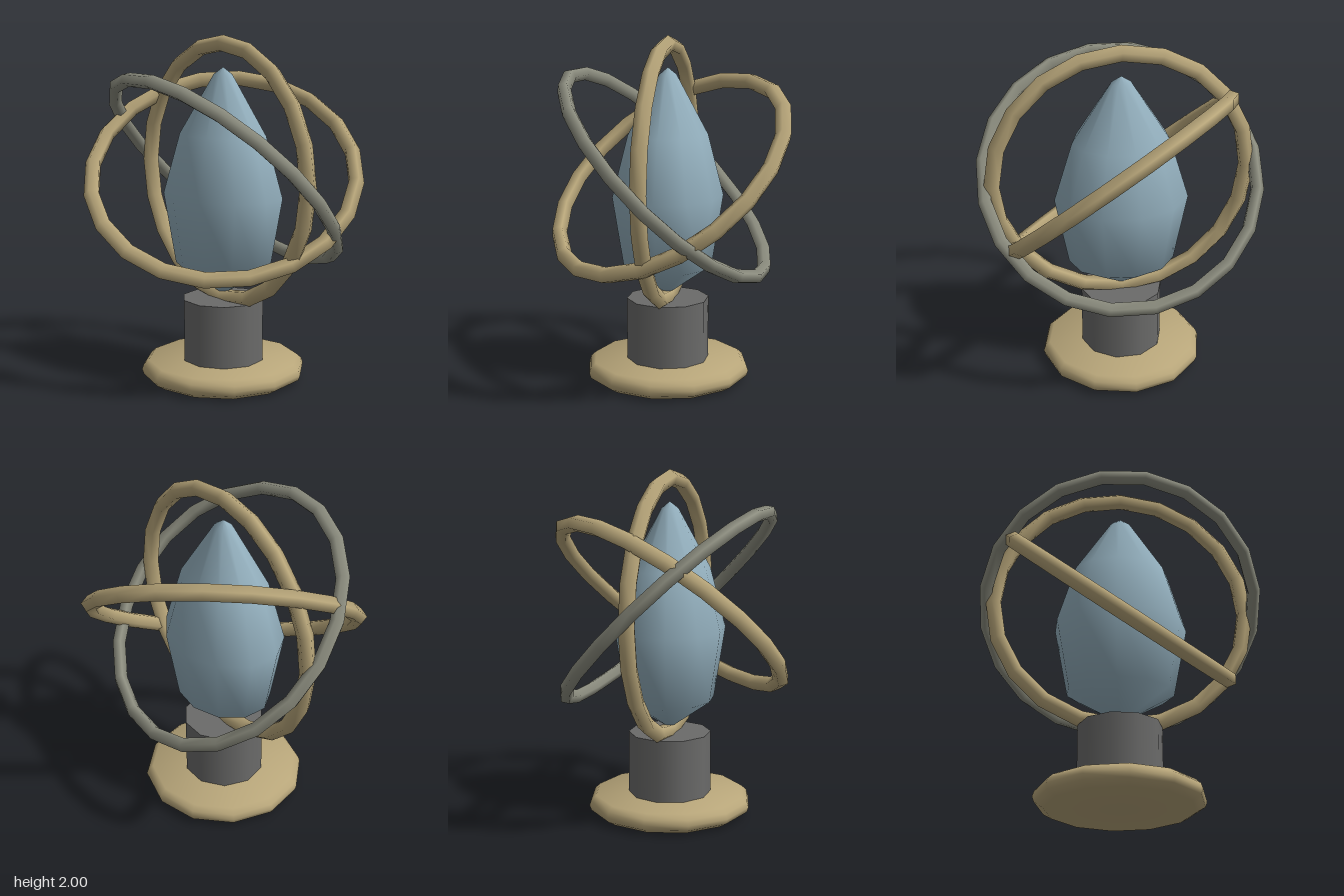
import * as THREE from 'three';
import { toCreasedNormals } from 'three/addons/utils/BufferGeometryUtils.js';

const mat = (name, color) => {
  const m = new THREE.MeshStandardMaterial({ color });
  m.name = name;
  return m;
};

export function createModel() {
  const brass = mat('brass', 0xb8a67a);
  const pewter = mat('pewter', 0x8d8e80);
  const iron = mat('iron', 0x6b6b6a);
  const crystalBlue = mat('crystalBlue', 0x93afbd);

  const group = new THREE.Group();
  const add = (name, geometry, material) => {
    const mesh = new THREE.Mesh(geometry, material);
    mesh.name = name;
    group.add(mesh);
    return mesh;
  };
  // Turned shape whose first corner lies on +x
  const turned = (points, sides, start = Math.PI / 2) =>
    new THREE.LatheGeometry(points.map(([r, y]) => new THREE.Vector2(r, y)), sides, start);

  // Bevelled foot
  const foot = turned([[0, 0], [0.42, 0], [0.47, 0.03], [0.48, 0.06], [0.47, 0.09], [0.44, 0.117], [0, 0.117]], 12);
  add('foot', toCreasedNormals(foot, 0.9), brass);

  // Column
  const column = new THREE.CylinderGeometry(0.24, 0.24, 0.38, 10);
  column.rotateY(Math.PI / 2);
  add('column', column, iron).position.y = 0.29;

  // Flattened crystal core
  const core = turned([[0, 0.5], [0.31, 0.68], [0.388, 1.09], [0.28, 1.44], [0.06, 1.78], [0, 1.82]], 11);
  core.scale(1, 1, 0.82);
  add('crystalCore', core, crystalBlue);

  // Three tilted rings around the core
  const rings = [
    ['uprightRing', 0.735, 0.048, [0, 0, 0], brass],
    ['slantedRing', 0.76, 0.048, [-Math.PI / 3, Math.PI / 6, 0], brass],
    ['outerRing', 0.785, 0.041, [Math.PI / 4, -0.04, Math.PI / 6], pewter],
  ];
  for (const [name, radius, tube, tilt, material] of rings) {
    const ring = add(name, new THREE.TorusGeometry(radius, tube, 5, 20), material);
    ring.position.y = 1.217;
    ring.rotation.set(...tilt);
  }
  return group;
}
